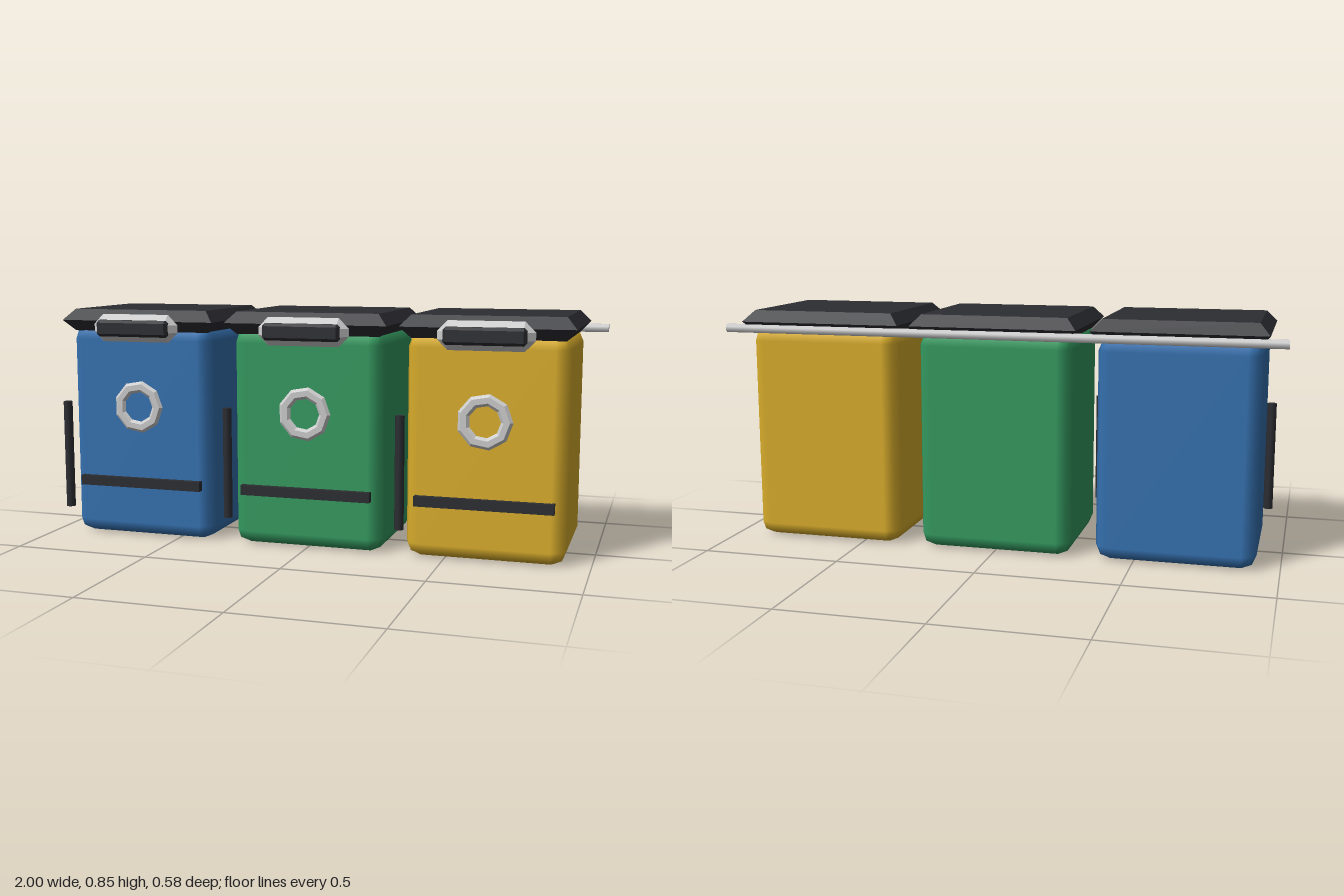
import * as THREE from 'three';
import { RoundedBoxGeometry } from 'three/addons/geometries/RoundedBoxGeometry.js';
import { ConvexGeometry } from 'three/addons/geometries/ConvexGeometry.js';

const material = (color, flatShading = false) => new THREE.MeshStandardMaterial({ color, flatShading });

// Box with every edge cut at 45 degrees
function chamferedBox(w, h, d, c) {
  const points = [];
  const [x, y, z] = [w / 2, h / 2, d / 2];
  for (const sx of [-1, 1]) for (const sy of [-1, 1]) for (const sz of [-1, 1]) {
    for (const p of [[x, y - c, z - c], [x - c, y, z - c], [x - c, y - c, z]]) {
      points.push(new THREE.Vector3(sx * p[0], sy * p[1], sz * p[2]));
    }
  }
  return new ConvexGeometry(points);
}

// Slab widest at mid height, with square corners
function lidGeometry(w, h, d, c) {
  const points = [];
  for (const [y, inset] of [[-h / 2, c], [0, 0], [h / 2, c]]) {
    for (const sx of [-1, 1]) for (const sz of [-1, 1]) {
      points.push(new THREE.Vector3(sx * (w / 2 - inset), y, sz * (d / 2 - inset)));
    }
  }
  return new ConvexGeometry(points);
}

export function createModel() {
  const model = new THREE.Group();
  model.name = 'recyclingBins';
  const dark = material(0x2c2d32);
  const metal = material(0xcccccc);
  const metalFlat = material(0xcccccc, true);

  const add = (parent, name, geometry, mat, x, y, z) => {
    const mesh = new THREE.Mesh(geometry, mat);
    mesh.name = name;
    mesh.position.set(x, y, z);
    parent.add(mesh);
    return mesh;
  };

  // Shared geometries
  const body = new RoundedBoxGeometry(0.555, 0.785, 0.492, 1, 0.05);
  const lid = lidGeometry(0.595, 0.08, 0.535, 0.036);
  const handle = chamferedBox(0.33, 0.1, 0.076, 0.036);
  const grip = chamferedBox(0.28, 0.06, 0.036, 0.01);
  const ring = new THREE.TorusGeometry(0.076, 0.021, 6, 9);
  ring.scale(1, 1, 0.5);
  const band = new THREE.BoxGeometry(0.48, 0.036, 0.03);
  const strip = new THREE.CylinderGeometry(0.017, 0.017, 0.4, 8);

  // Three bins in a row
  const bins = [['blueBin', 0x3571b0, -0.642], ['greenBin', 0x349a60, 0], ['yellowBin', 0xd9ad2b, 0.638]];
  for (const [name, color, x] of bins) {
    const bin = new THREE.Group();
    bin.name = name;
    bin.position.x = x;
    add(bin, 'body', body, material(color), 0, 0.3925, -0.02);
    add(bin, 'lid', lid, dark, 0, 0.805, -0.019);
    add(bin, 'handle', handle, metal, 0, 0.78, 0.247);
    add(bin, 'handleGrip', grip, dark, 0, 0.78, 0.272);
    add(bin, 'frontRing', ring, metalFlat, 0, 0.49, 0.238);
    add(bin, 'frontBand', band, dark, 0, 0.205, 0.232);
    add(bin, 'sideStrip', strip, dark, -0.292, 0.3, 0.238);
    model.add(bin);
  }

  // Rail joining the bins at the back
  const rail = new THREE.CylinderGeometry(0.016, 0.016, 2, 8);
  rail.rotateY(Math.PI / 8).rotateZ(Math.PI / 2);
  add(model, 'backRail', rail, metal, 0, 0.78, -0.275);

  return model;
}
